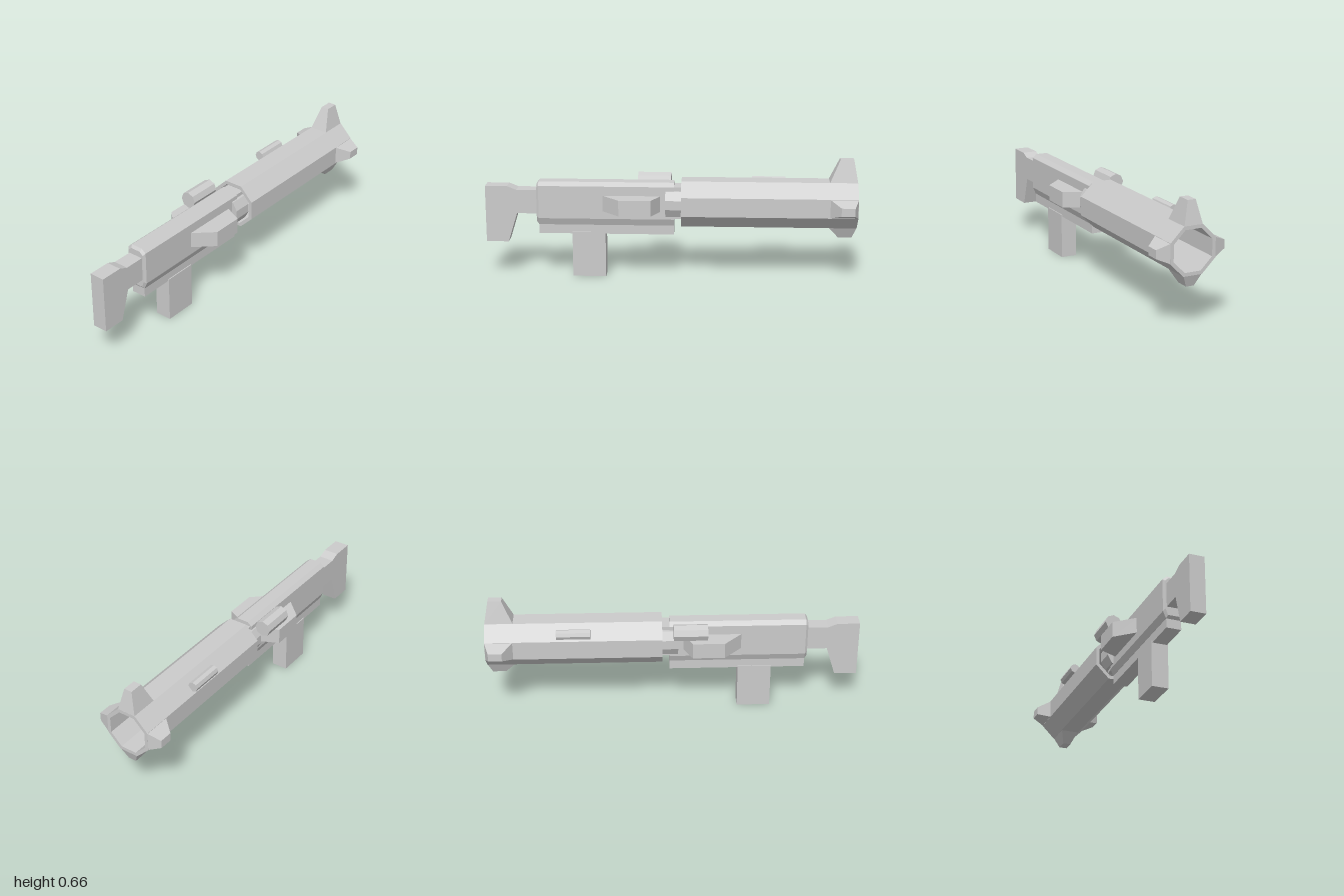
import * as THREE from 'three';

const AXIS_Y = 0.415; // height of the barrel axis

export function createModel() {
  const model = new THREE.Group();
  const mat = new THREE.MeshStandardMaterial({ color: 0xcccccc, flatShading: true });

  function add(name, geometry, x = 0, y = 0, z = 0, parent = model) {
    const mesh = new THREE.Mesh(geometry, mat);
    mesh.name = name;
    mesh.position.set(x, y, z);
    parent.add(mesh);
    return mesh;
  }

  // Box given by its limits in y and z, symmetric in x
  function block(name, halfWidth, y0, y1, z0, z1) {
    add(name, new THREE.BoxGeometry(halfWidth * 2, y1 - y0, z1 - z0), 0, (y0 + y1) / 2, (z0 + z1) / 2);
  }

  // Solid through convex counter-clockwise sections [z, [[x, y], ...]] in rising z
  function loft(sections) {
    const pos = [];
    const n = sections[0][1].length;
    const put = (s, i) => pos.push(...sections[s][1][i % n], sections[s][0]);
    const last = sections.length - 1;
    for (let s = 0; s < last; s++) {
      for (let i = 0; i < n; i++) {
        put(s, i); put(s, i + 1); put(s + 1, i + 1);
        put(s, i); put(s + 1, i + 1); put(s + 1, i);
      }
    }
    for (let i = 1; i < n - 1; i++) {
      put(0, 0); put(0, i + 1); put(0, i);
      put(last, 0); put(last, i); put(last, i + 1);
    }
    const g = new THREE.BufferGeometry();
    g.setAttribute('position', new THREE.Float32BufferAttribute(pos, 3));
    g.computeVertexNormals();
    return g;
  }

  const polygon = (pts) => new THREE.Shape(pts.map(([x, y]) => new THREE.Vector2(x, y)));
  const extrude = (shape, depth) => new THREE.ExtrudeGeometry(shape, { depth, bevelEnabled: false });

  // Shoulder stock: side profile in (z, y), extruded across x
  const stock = extrude(polygon([
    [1, 0.5], [0.88, 0.5], [0.83, 0.48], [0.7, 0.48],
    [0.7, 0.35], [0.83, 0.35], [0.88, 0.19], [1, 0.19],
  ]), 0.082);
  stock.rotateY(-Math.PI / 2);
  add('stock', stock, 0.041);

  // Receiver with chamfered corners and a bevelled end
  const receiver = [
    [0.041, 0.29], [0.057, 0.328], [0.057, 0.507], [0.033, 0.527],
    [-0.033, 0.527], [-0.057, 0.507], [-0.057, 0.328], [-0.041, 0.29],
  ];
  const receiverEnd = receiver.map(([x, y]) => [x * 0.84, 0.41 + (y - 0.41) * 0.88]);
  add('receiver', loft([[-0.02, receiver], [0.71, receiver], [0.722, receiverEnd]]));
  block('lowerReceiver', 0.04, 0.24, 0.3, -0.02, 0.71);
  block('grip', 0.045, 0, 0.25, 0.35, 0.53);

  // Side housings
  for (const side of [1, -1]) {
    const wing = extrude(polygon([[0.05, -0.37], [0.157, -0.27], [0.157, -0.1], [0.05, -0.05]]), 0.086);
    wing.rotateX(-Math.PI / 2);
    if (side < 0) {
      wing.scale(-1, 1, 1);
      // Restore the winding after mirroring
      const p = wing.attributes.position;
      for (let i = 0; i < p.count; i += 3) {
        const a = new THREE.Vector3().fromBufferAttribute(p, i);
        const b = new THREE.Vector3().fromBufferAttribute(p, i + 1);
        p.setXYZ(i, b.x, b.y, b.z);
        p.setXYZ(i + 1, a.x, a.y, a.z);
      }
      wing.computeVertexNormals();
    }
    add(side > 0 ? 'leftHousing' : 'rightHousing', wing, 0, 0.371, 0);
  }

  // Collar joining receiver and barrel
  const collar = [
    [0.065, -0.07], [0.09, -0.025], [0.09, 0.025], [0.065, 0.07],
    [-0.065, 0.07], [-0.09, 0.025], [-0.09, -0.025], [-0.065, -0.07],
  ];
  add('collar', loft([[-0.08, collar], [0.025, collar]]), 0, AXIS_Y, 0);
  block('neck', 0.05, 0.33, 0.505, -0.08, -0.01);

  // Hollow octagonal barrel
  const octagon = (r) => Array.from({ length: 8 }, (_, i) => {
    const a = (i + 0.5) * Math.PI / 4;
    return [r * Math.cos(a), r * Math.sin(a)];
  });
  const tube = polygon(octagon(0.135));
  tube.holes.push(polygon(octagon(0.115)));
  add('barrel', extrude(tube, 0.94), 0, AXIS_Y, -1);

  // Four tapered muzzle fins, the top one tallest
  const rect = (hw, y0, y1) => [[hw, y0], [hw, y1], [-hw, y1], [-hw, y0]];
  const fins = [['topFin', 0.245], ['rightFin', 0.19], ['bottomFin', 0.185], ['leftFin', 0.19]];
  fins.forEach(([name, height], i) => {
    const fin = loft([[0.122, rect(0.051, 0.85, 1)], [height, rect(0.022, 0.905, 0.977)]]);
    fin.rotateX(-Math.PI / 2);
    add(name, fin, 0, AXIS_Y, 0).rotation.z = i * Math.PI / 2;
  });

  // Sighting cylinders on the right side
  function sight(name, radius, z0, z1) {
    const g = new THREE.CylinderGeometry(radius, radius, z1 - z0, 8);
    g.rotateX(Math.PI / 2);
    add(name, g, -0.115, 0.505, (z0 + z1) / 2);
  }
  sight('rearSight', 0.045, 0, 0.18);
  sight('frontSight', 0.027, -0.62, -0.44);

  return model;
}
